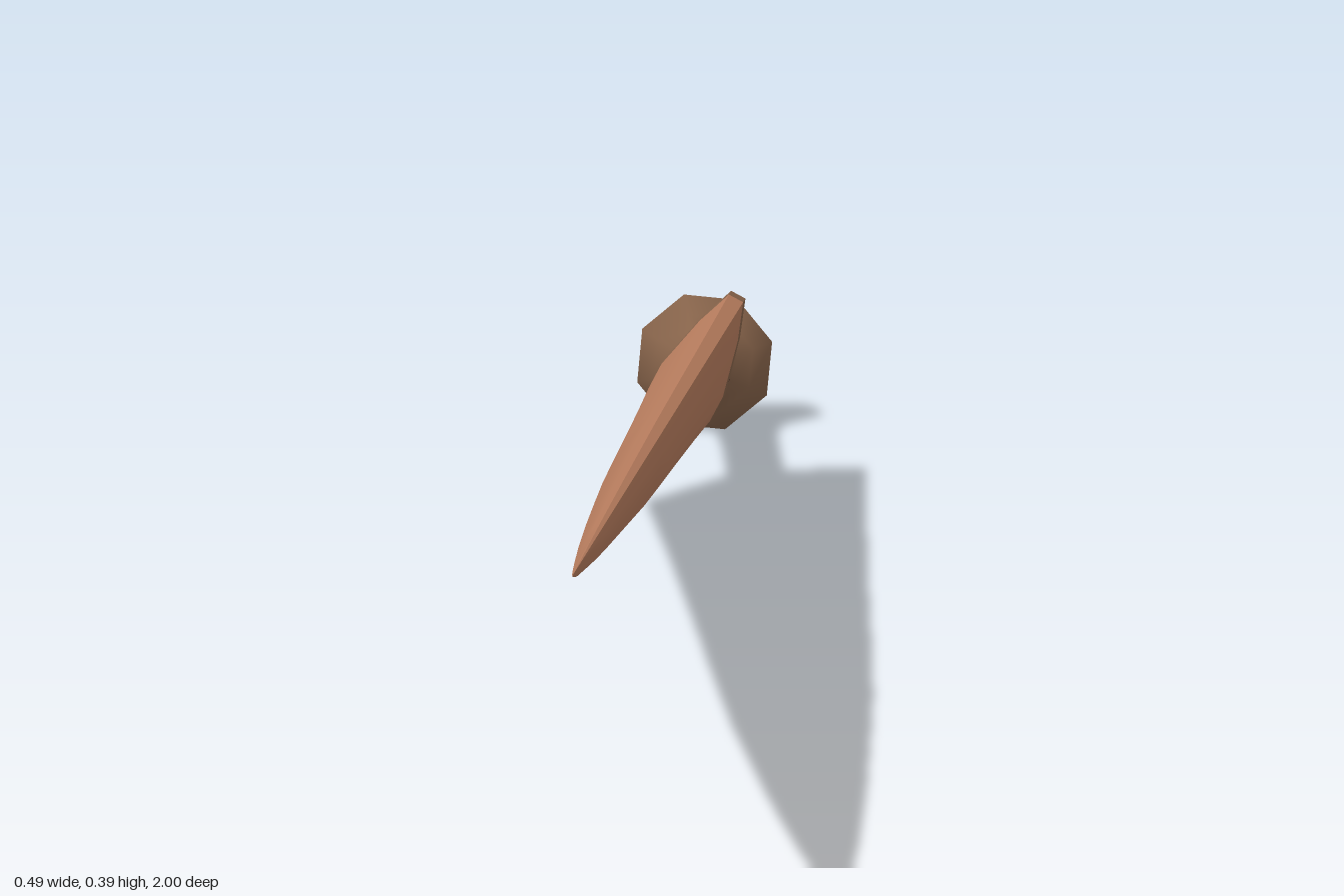
import * as THREE from 'three';
import { toCreasedNormals } from 'three/addons/utils/BufferGeometryUtils.js';

const mat = (name, color) => {
  const m = new THREE.MeshStandardMaterial({ color });
  m.name = name;
  return m;
};

// Unit blade section: x = across the blade, y = through its thickness
const quarter = [[1, 0.075], [0.66, 0.2], [0.13, 0.325]];
const section = [
  ...quarter,
  ...quarter.map(([x, y]) => [-x, y]).reverse(),
  ...quarter.map(([x, y]) => [-x, -y]),
  ...quarter.map(([x, y]) => [x, -y]).reverse(),
];
const N = section.length;

// Ring of points at z; round = 1 gives a circle, 0 gives the blade section
function ring(z, size, round = 0) {
  return section.map(([x, y], i) => {
    const a = ((i + 0.5) / N) * Math.PI * 2;
    return [
      size * THREE.MathUtils.lerp(x, Math.cos(a), round),
      size * THREE.MathUtils.lerp(y, Math.sin(a), round),
      z,
    ];
  });
}

// Skin over successive rings, rising in z
function loft(rings) {
  const index = [];
  for (let r = 0; r < rings.length - 1; r++) {
    for (let i = 0; i < N; i++) {
      const a = r * N + i, b = r * N + ((i + 1) % N);
      index.push(a, b, b + N, a, b + N, a + N);
    }
  }
  const g = new THREE.BufferGeometry();
  g.setAttribute('position', new THREE.Float32BufferAttribute(rings.flat(2), 3));
  g.setIndex(index);
  g.computeVertexNormals();
  return g;
}

// Turned eight-sided part along z from [radius, z] points
function turned(points) {
  const g = new THREE.LatheGeometry(points.map(([r, z]) => new THREE.Vector2(r, z)), 8);
  return g.rotateX(Math.PI / 2);
}

export function createModel() {
  const copper = mat('copper blade', 0xb87d5e);
  const brown = mat('brown fittings', 0x86634a);
  const dark = mat('dark grip', 0x4a2c24);
  const dagger = new THREE.Group();
  dagger.name = 'dagger';
  const add = (name, geometry, material) => {
    const m = new THREE.Mesh(geometry, material);
    m.name = name;
    dagger.add(m);
  };

  // Pommel: shallow dome behind, concave flare in front
  add('pommel', turned([
    [0, -0.056], [0.045, -0.046], [0.085, -0.022], [0.099, 0.002],
    [0.072, 0.03], [0.05, 0.052], [0.043, 0.072],
  ]), brown);

  // Grip
  add('grip', turned([
    [0.043, 0.068], [0.037, 0.095], [0.034, 0.2], [0.034, 0.33], [0.038, 0.36],
  ]), dark);

  // Guard: round neck swelling into the blade section
  add('guard', toCreasedNormals(loft([
    ring(0.338, 0.034, 1), ring(0.352, 0.042, 0.9), ring(0.368, 0.075, 0.45),
    ring(0.398, 0.139), ring(0.44, 0.137),
  ]), 0.6), brown);

  // Blade: long taper with convex edges to a sharp tip
  const taper = [
    [0.44, 0.137], [0.7, 0.118], [0.98, 0.1], [1.2, 0.087], [1.4, 0.074],
    [1.55, 0.06], [1.7, 0.045], [1.85, 0.027], [1.95, 0.011], [2.006, 0.0005],
  ];
  add('blade', toCreasedNormals(loft(taper.map(([z, h]) => ring(z, h))), 0.9), copper);

  // Lay the dagger along its slanted axis, blade width turned with it
  const axis = new THREE.Vector3(-0.392, 0.294, 1.945).normalize();
  const across = new THREE.Vector3(0.47, 0.88, 0);
  across.addScaledVector(axis, -across.dot(axis)).normalize();
  const through = new THREE.Vector3().crossVectors(axis, across);
  dagger.quaternion.setFromRotationMatrix(new THREE.Matrix4().makeBasis(across, through, axis));
  dagger.position.set(0.149, 0.097, -0.945);

  const model = new THREE.Group();
  model.add(dagger);
  return model;
}
